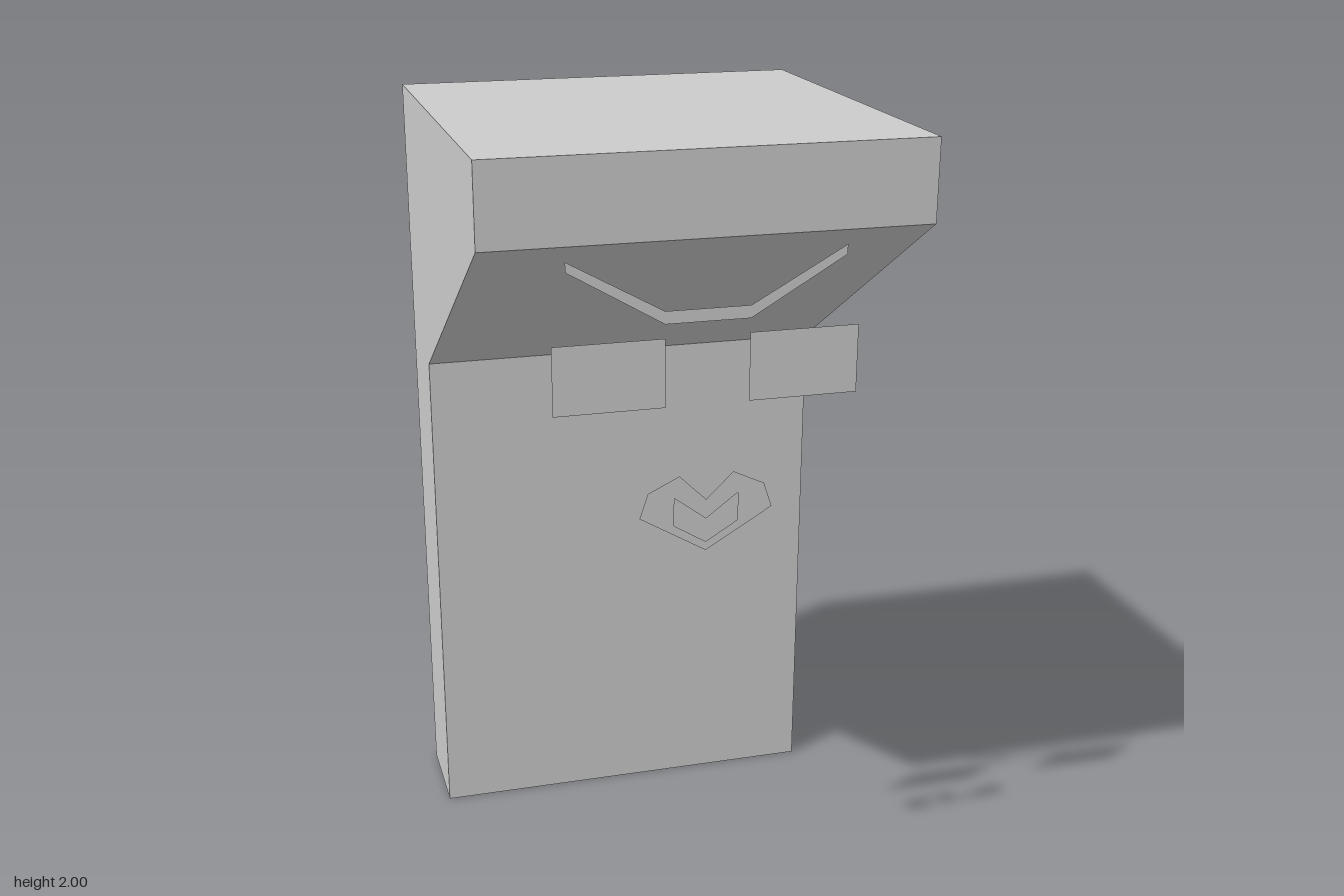
import * as THREE from 'three';

const HALF_WIDTH = 0.523;
const FACE_Z = 0.51;

// Closed outline from its left half (x <= 0), listed from top to bottom, mirrored to the right
function mirrored(half, Type = THREE.Shape) {
  const right = half.filter(([x]) => x !== 0).map(([x, y]) => [-x, y]).reverse();
  return new Type([...half, ...right].map(([x, y]) => new THREE.Vector2(x, y)));
}

export function createModel() {
  const model = new THREE.Group();
  const bodyMaterial = new THREE.MeshStandardMaterial({ color: 0xcccccc, flatShading: true });
  const flatMaterial = new THREE.MeshStandardMaterial({ color: 0xcccccc, side: THREE.DoubleSide });

  // Slab with a sloping overhang: side profile as [z, y], extruded across the width
  const profile = [[-0.538, 0], [-0.278, 0], [-0.278, 1.315], [0.538, 1.805], [0.538, 2], [-0.538, 2]];
  const bodyShape = new THREE.Shape(profile.map(([z, y]) => new THREE.Vector2(-z, y)));
  const bodyGeometry = new THREE.ExtrudeGeometry(bodyShape, { depth: 2 * HALF_WIDTH, bevelEnabled: false });
  bodyGeometry.translate(0, 0, -HALF_WIDTH).rotateY(Math.PI / 2);
  const body = new THREE.Mesh(bodyGeometry, bodyMaterial);
  body.name = 'body';
  model.add(body);

  // Flat face pieces floating in front of the slab
  const addFlat = (name, geometry, x = 0, y = 0) => {
    const mesh = new THREE.Mesh(geometry, flatMaterial);
    mesh.name = name;
    mesh.position.set(x, y, FACE_Z);
    model.add(mesh);
  };

  // Eyes
  for (const [name, side] of [['leftEye', 1], ['rightEye', -1]]) {
    addFlat(name, new THREE.PlaneGeometry(0.26, 0.162), side * 0.229, 1.496);
  }

  // Brow: one bent strip
  const brow = new THREE.Shape([
    [-0.325, 1.765], [-0.325, 1.742], [-0.1, 1.61], [0.1, 1.61], [0.325, 1.742],
    [0.325, 1.765], [0.1, 1.64], [-0.1, 1.64],
  ].map(([x, y]) => new THREE.Vector2(x, y)));
  addFlat('brow', new THREE.ShapeGeometry(brow));

  // Mouth: heart-like outline with a chevron opening
  const mouth = mirrored([[0, 1.183], [-0.065, 1.246], [-0.14, 1.21], [-0.16, 1.15], [0, 1.055]]);
  mouth.holes.push(mirrored([[0, 1.135], [-0.077, 1.193], [-0.077, 1.124], [0, 1.077]], THREE.Path));
  addFlat('mouth', new THREE.ShapeGeometry(mouth));

  return model;
}
